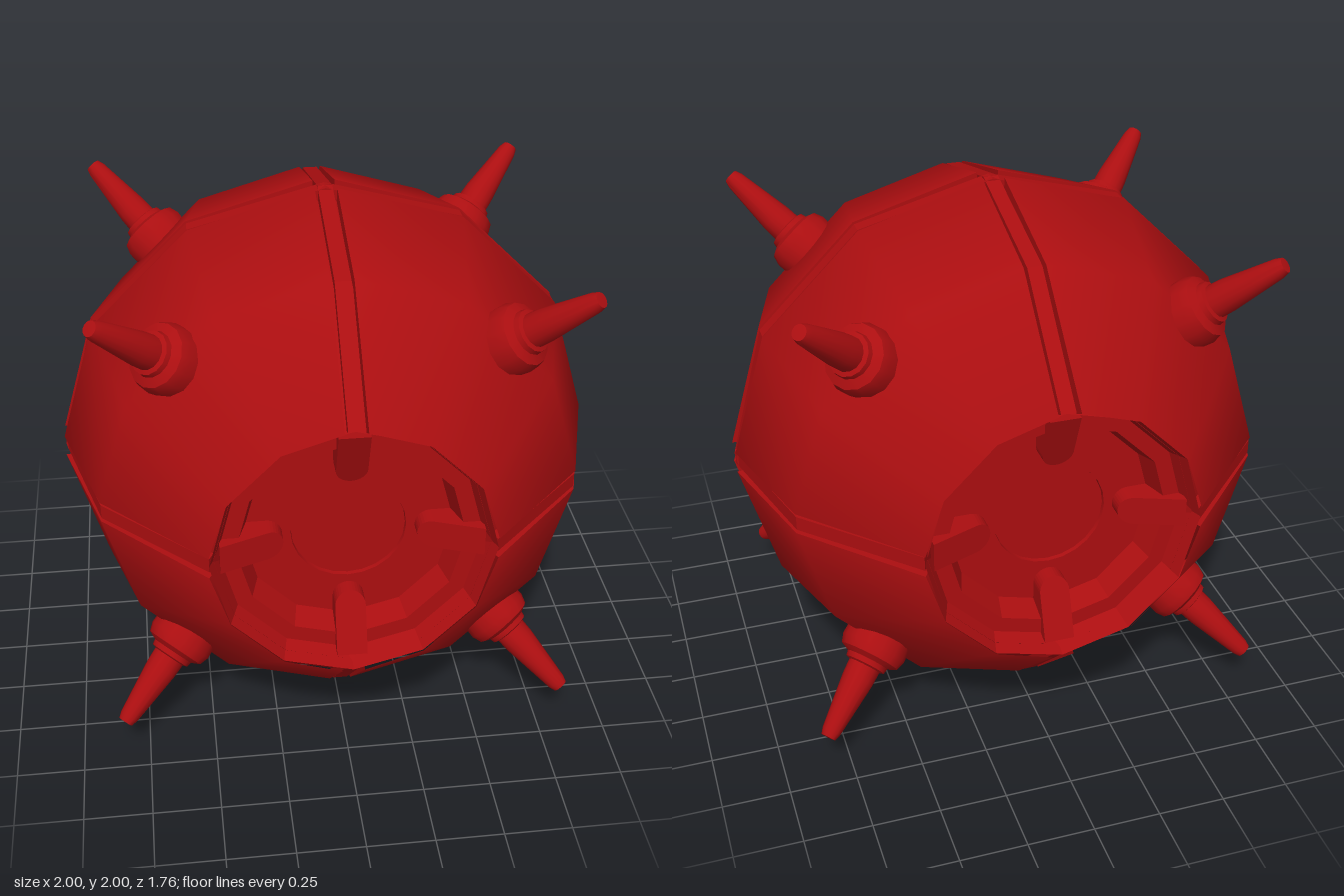
import * as THREE from 'three';
import { toCreasedNormals } from 'three/addons/utils/BufferGeometryUtils.js';

const RAD = Math.PI / 180;
const GAP = 0.04; // half-width of the seams between panels
const RIM_Z = 0.88;

// Lathe whose axis is z; points are [radius, z]
function latheZ(points, sides, crease = 0.4) {
  const g = new THREE.LatheGeometry(points.map(([r, z]) => new THREE.Vector2(r, z)), sides);
  g.rotateX(Math.PI / 2);
  return toCreasedNormals(g, crease);
}

// One eighth of the faceted ball, with walls turned inward at its edges
function panelGeometry() {
  const pos = [], nor = [], rows = [30, 60, 90], cols = [0, 30, 60, 90];
  const grid = rows.map((t) => cols.map((p) => {
    const n = new THREE.Vector3().setFromSphericalCoords(1, t * RAD, 0);
    n.set(Math.sin(t * RAD) * Math.cos(p * RAD), Math.sin(t * RAD) * Math.sin(p * RAD), Math.cos(t * RAD));
    const v = new THREE.Vector3(Math.max(n.x, GAP), Math.max(n.y, GAP), Math.max(n.z, GAP));
    if (t === 30) v.z = RIM_Z;
    return { v, n };
  }));
  const put = (v, n) => { pos.push(v.x, v.y, v.z); nor.push(n.x, n.y, n.z); };
  for (let i = 0; i < 2; i++) {
    for (let j = 0; j < 3; j++) {
      const a = grid[i][j], b = grid[i + 1][j], c = grid[i + 1][j + 1], d = grid[i][j + 1];
      [a, b, d, b, c, d].forEach((q) => put(q.v, q.n));
    }
  }
  // Walls along the two side edges and the equator edge
  const edge = [[0, 0], [1, 0], [2, 0], [2, 1], [2, 2], [2, 3], [1, 3], [0, 3]].map(([i, j]) => grid[i][j].v);
  for (let k = 0; k < edge.length - 1; k++) {
    const a = edge[k], b = edge[k + 1];
    const a2 = a.clone().multiplyScalar(0.95), b2 = b.clone().multiplyScalar(0.95);
    const n = a2.clone().sub(a).cross(b2.clone().sub(a)).normalize();
    [a, a2, b2, a, b2, b].forEach((v) => put(v, n));
  }
  const g = new THREE.BufferGeometry();
  g.setAttribute('position', new THREE.Float32BufferAttribute(pos, 3));
  g.setAttribute('normal', new THREE.Float32BufferAttribute(nor, 3));
  return g;
}

// Faceted band lying in the xy plane, in 30 degree steps measured from +y
function bandGeometry(from, to) {
  const outer = [], inner = [];
  for (let t = from; t <= to; t += 30) {
    const s = Math.sin(t * RAD), c = Math.cos(t * RAD);
    outer.push(new THREE.Vector2(s, c).multiplyScalar(0.997));
    inner.unshift(new THREE.Vector2(s, c).multiplyScalar(0.92));
  }
  const g = new THREE.ExtrudeGeometry(new THREE.Shape([...outer, ...inner]), { depth: 0.054, bevelEnabled: false });
  g.translate(0, 0, -0.027);
  return g;
}

// Round-ended tab pointing at the middle of the port, sloping down inward
function tabGeometry() {
  const s = new THREE.Shape();
  s.moveTo(0.46, 0.055);
  s.lineTo(0.29, 0.055);
  s.absarc(0.29, 0, 0.055, Math.PI / 2, Math.PI * 1.5, false);
  s.lineTo(0.46, -0.055);
  const g = new THREE.ExtrudeGeometry(s, { depth: 0.15, bevelEnabled: false, curveSegments: 8 });
  const p = g.attributes.position;
  for (let i = 0; i < p.count; i++) {
    if (p.getZ(i) > 0.1) p.setZ(i, 0.15 - (0.46 - p.getX(i)) * 0.38);
  }
  g.translate(0, 0, 0.69);
  g.computeVertexNormals();
  return g;
}

export function createModel() {
  const red = new THREE.MeshStandardMaterial({ color: 0xab0e10 });
  red.name = 'red';
  const model = new THREE.Group();
  model.name = 'spikedBall';
  const ball = new THREE.Group();
  ball.name = 'ball';
  ball.position.y = 1;
  model.add(ball);

  const add = (parent, name, geometry) => {
    const m = new THREE.Mesh(geometry, red);
    m.name = name;
    parent.add(m);
    return m;
  };

  // Inner core seen at the bottom of the seams
  add(ball, 'core', latheZ([150, 120, 90, 60, 30].map((t) =>
    [0.965 * Math.sin(t * RAD), 0.965 * Math.cos(t * RAD)]), 12, 1));

  // Strips laid in the seams
  const meridian = bandGeometry(30, 150).rotateX(Math.PI / 2);
  const equator = bandGeometry(0, 90);
  for (let k = 0; k < 4; k++) {
    add(ball, 'meridianStrip', meridian).rotation.z = k * Math.PI / 2;
    add(ball, 'equatorStrip', equator).rotation.z = k * Math.PI / 2;
  }

  const panel = panelGeometry();
  const tab = tabGeometry();

  // Spike with its collar, pointing out of the middle of a panel
  const spike = latheZ([
    [0.12, 0.88], [0.127, 1.0], [0.115, 1.035], [0.082, 1.05], [0.078, 1.07], [0.062, 1.075],
    [0.06, 1.13], [0.036, 1.34], [0.028, 1.365], [0, 1.367],
  ], 14, 0.6);
  const out = new THREE.Vector3(Math.sin(60 * RAD) * Math.SQRT1_2, Math.sin(60 * RAD) * Math.SQRT1_2, 0.5);
  spike.applyQuaternion(new THREE.Quaternion().setFromUnitVectors(new THREE.Vector3(0, 0, 1), out));

  // Stepped round port
  const portWall = latheZ([[0.5, RIM_Z - 0.005], [0.465, 0.79], [0.405, 0.79], [0.375, 0.70]], 12, 0.1);
  const portFloor = new THREE.RingGeometry(0.205, 0.38, 24).translate(0, 0, 0.70);
  const portDish = latheZ([[0.205, 0.70], [0.203, 0.685], [0, 0.685]], 24);

  // Front half, repeated at the back
  for (const side of ['front', 'back']) {
    const half = new THREE.Group();
    half.name = side + 'Half';
    half.rotation.y = side === 'front' ? 0 : Math.PI;
    ball.add(half);
    add(half, 'portWall', portWall);
    add(half, 'portFloor', portFloor);
    add(half, 'portDish', portDish);
    for (let k = 0; k < 4; k++) {
      const quarter = new THREE.Group();
      quarter.name = 'quarter';
      quarter.rotation.z = k * Math.PI / 2;
      half.add(quarter);
      add(quarter, 'panel', panel);
      add(quarter, 'spike', spike);
      add(quarter, 'portTab', tab);
    }
  }
  return model;
}
